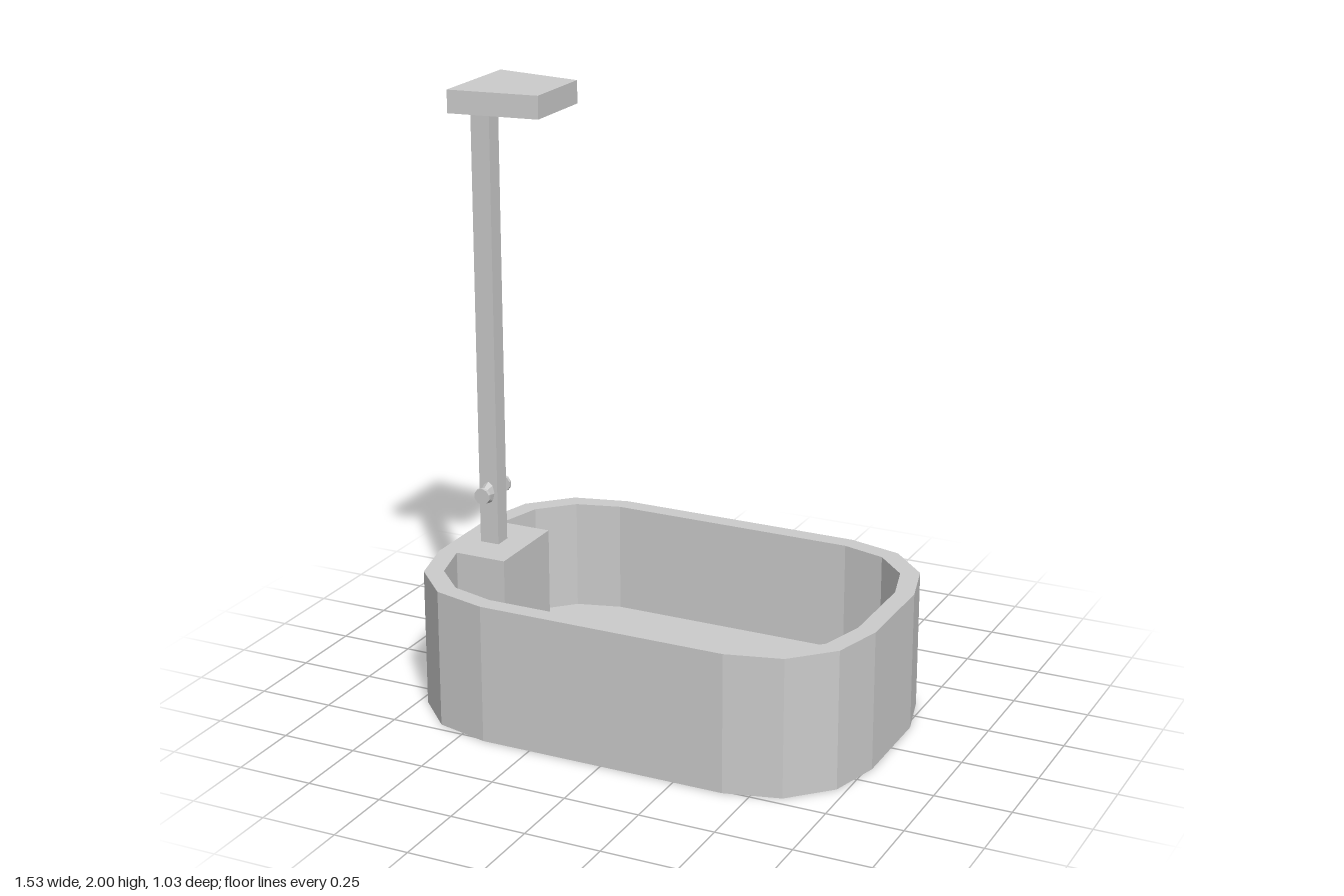
import * as THREE from 'three';

const material = new THREE.MeshStandardMaterial({ color: 0xcccccc, flatShading: true });

function add(parent, name, geometry, x = 0, y = 0, z = 0) {
  const mesh = new THREE.Mesh(geometry, material);
  mesh.name = name;
  mesh.position.set(x, y, z);
  parent.add(mesh);
  return mesh;
}

// Mirror one corner (straight side to end) into a full closed outline
function outline(corner) {
  const back = [...corner].reverse();
  return [
    ...back.map(([x, z]) => new THREE.Vector2(x, z)),
    ...corner.map(([x, z]) => new THREE.Vector2(-x, z)),
    ...back.map(([x, z]) => new THREE.Vector2(-x, -z)),
    ...corner.map(([x, z]) => new THREE.Vector2(x, -z)),
  ];
}

// Extrude a plan outline upwards
function slab(shape, height) {
  return new THREE.ExtrudeGeometry(shape, { depth: height, bevelEnabled: false }).rotateX(-Math.PI / 2);
}

export function createModel() {
  const model = new THREE.Group();
  model.name = 'bathtubWithShower';

  const rimHeight = 0.46, floorHeight = 0.09;
  const outer = outline([[0.415, 0.513], [0.595, 0.466], [0.72, 0.339], [0.766, 0.165]]);
  const inner = outline([[0.415, 0.453], [0.56, 0.412], [0.664, 0.307], [0.705, 0.155]]);

  // Tub wall and floor
  const wall = new THREE.Shape(outer);
  wall.holes.push(new THREE.Path(inner));
  add(model, 'tubWall', slab(wall, rimHeight));
  add(model, 'tubFloor', slab(new THREE.Shape(inner), floorHeight));

  // Ledge inside the end of the tub that carries the shower
  const ledgeHeight = rimHeight - floorHeight;
  add(model, 'ledge', new THREE.BoxGeometry(0.175, ledgeHeight, 0.306),
    -0.6175, floorHeight + ledgeHeight / 2, 0);

  // Shower column
  add(model, 'column', new THREE.BoxGeometry(0.066, 1.467, 0.06), -0.652, 1.1925, 0);

  // Tapered shower head
  const head = new THREE.Shape([
    new THREE.Vector2(-0.686, -0.17), new THREE.Vector2(-0.39, -0.129),
    new THREE.Vector2(-0.39, 0.129), new THREE.Vector2(-0.686, 0.17),
  ]);
  add(model, 'showerHead', slab(head, 0.074), 0, 1.926, 0);

  // A tap on each side of the column
  for (const side of [1, -1]) {
    const tap = new THREE.Group();
    tap.name = side > 0 ? 'frontTap' : 'backTap';
    tap.position.set(-0.652, 0.637, 0);
    const stem = new THREE.CylinderGeometry(0.02, 0.038, 0.036, 8).rotateX(side * Math.PI / 2);
    stem.scale(0.6, 1, 1);
    add(tap, 'tapStem', stem, 0, 0, side * 0.047);
    add(tap, 'tapKnob', new THREE.CylinderGeometry(0.028, 0.028, 0.011, 10).rotateX(Math.PI / 2),
      0, 0, side * 0.0695);
    model.add(tap);
  }

  return model;
}
